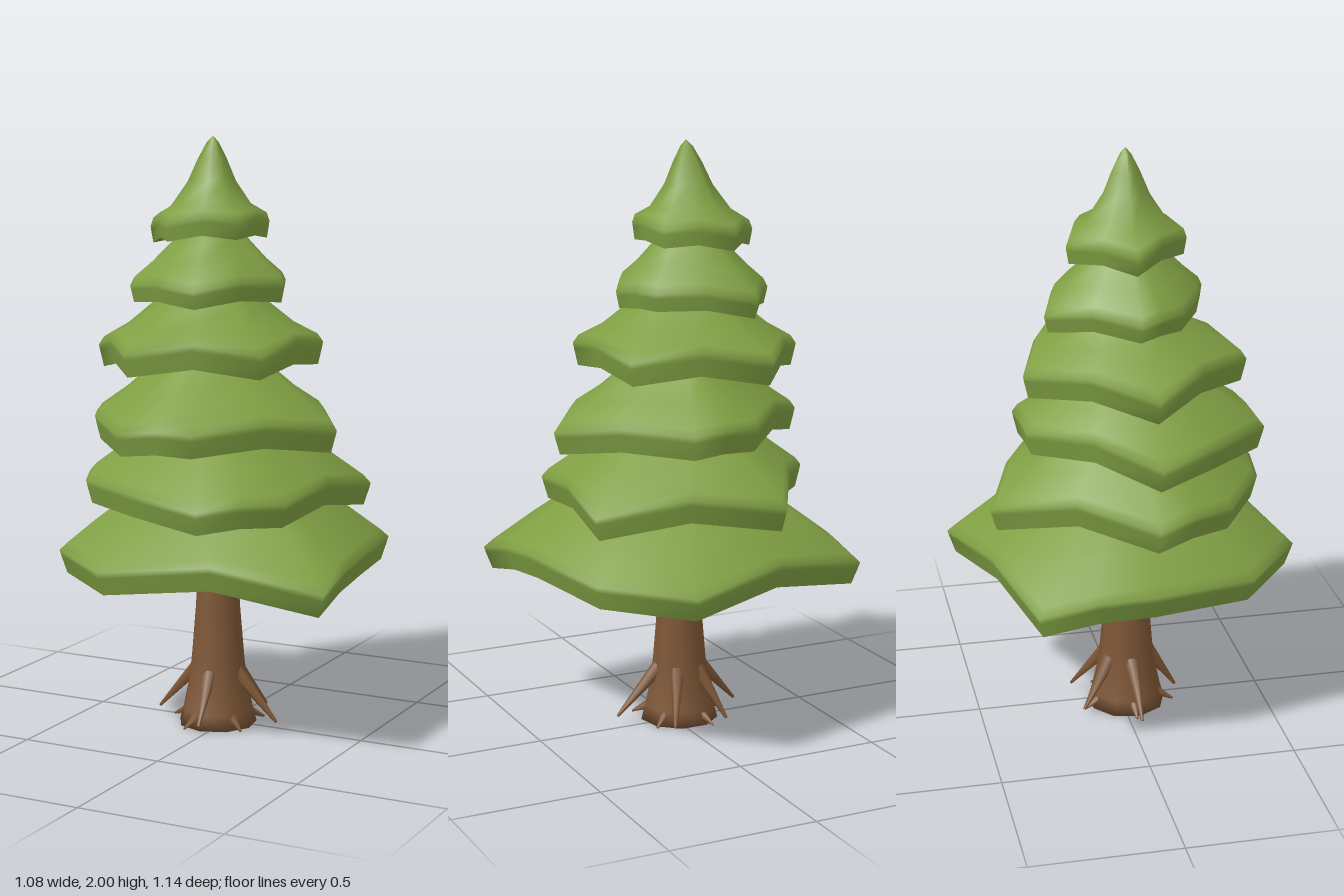
import * as THREE from 'three';

// Skin a list of rings (equal point counts), ordered so that faces point outward
function loft(rings) {
  const n = rings[0].length, index = [];
  for (let r = 0; r < rings.length - 1; r++) {
    for (let j = 0; j < n; j++) {
      const a = r * n + j, b = r * n + (j + 1) % n;
      index.push(a, a + n, b, b, a + n, b + n);
    }
  }
  const g = new THREE.BufferGeometry();
  g.setAttribute('position', new THREE.Float32BufferAttribute(rings.flat(2), 3));
  g.setIndex(index);
  g.computeVertexNormals();
  return g;
}

// Foliage tiers: base height, total rise, centre, corners as [x, z, bulge of the edge that follows]
const TIERS = [
  { y: 0.51, rise: 0.42, c: [0, 0.01],
    corners: [[0.52, 0.01], [0.54, 0.4], [-0.18, 0.57, 1.25], [-0.54, 0.01], [-0.52, -0.37], [0.19, -0.57, 1.25]] },
  { y: 0.75, rise: 0.37, c: [-0.04, 0.01],
    corners: [[0.36, 0.3], [0.14, 0.5, 1.13], [-0.38, 0.3], [-0.51, 0.03, 0.96], [-0.18, -0.47], [0.41, -0.27]] },
  { y: 0.975, rise: 0.34, c: [-0.04, 0.03],
    corners: [[0.42, 0.04, 1.05], [0.09, 0.44], [-0.17, 0.46, 1.1], [-0.49, 0.04], [-0.14, -0.34], [0.09, -0.35, 1.08]] },
  { y: 1.21, rise: 0.31, c: [-0.05, 0.02],
    corners: [[0.255, 0.26], [-0.18, 0.39], [-0.485, 0.03], [-0.19, -0.355], [0.255, -0.21, 1.05]] },
  { y: 1.435, rise: 0.28, c: [-0.05, 0.01],
    corners: [[0.21, 0, 1.08], [0.02, 0.285, 1.1], [-0.29, 0.15], [-0.355, 0], [-0.17, -0.28, 1.05], [0.14, -0.155]] },
  { y: 1.64, rise: 0.36, c: [-0.05, 0.01],
    corners: [[0.095, 0.12], [-0.13, 0.195], [-0.295, 0], [-0.13, -0.2], [0.095, -0.12, 1.1]] },
];

// Slopes above the rim as [scale, fraction of rise]
const SLOPE = [[0.73, 0.51], [0.48, 0.78], [0.27, 1]];
const TIP_SLOPE = [[0.67, 0.35], [0.4, 0.58], [0.24, 0.79], [0.1, 0.94], [0, 1]];

// Offsets from the centre: each corner, then the bulged middle of its edge
function outline({ c, corners }) {
  return corners.flatMap(([x, z, bulge = 1], i) => {
    const next = corners[(i + 1) % corners.length];
    return [
      new THREE.Vector2(x - c[0], z - c[1]),
      new THREE.Vector2((x + next[0]) / 2 - c[0], (z + next[1]) / 2 - c[1]).multiplyScalar(bulge),
    ];
  });
}

// One tier: a sloping crown whose longest branches droop most, and a hollow underside
function makeTier(t, i, material) {
  const pts = outline(t);
  const reach = Math.max(...pts.map(p => p.length()));
  const rim = i < 4 ? 0.075 : 0.055;
  const slope = i === TIERS.length - 1 ? TIP_SLOPE : SLOPE;
  const ring = (s, h) => pts.map(p => [
    t.c[0] + p.x * s, t.y + h + 0.45 * (reach - p.length()) * s * s, t.c[1] + p.y * s]);

  const tier = new THREE.Group();
  tier.name = 'foliageTier' + (i + 1);
  const crown = new THREE.Mesh(loft([
    ring(0.955, 0), ring(0.99, rim * 0.75), ring(1, rim), ring(0.95, rim + 0.03),
    ...slope.map(([s, f]) => ring(s, f * t.rise))]), material);
  crown.name = 'crown';
  const underside = new THREE.Mesh(loft([ring(0, 0.08), ring(0.5, 0.07), ring(0.955, 0)]), material);
  underside.name = 'underside';
  tier.add(crown, underside);
  return tier;
}

// Tapered spike between two points
function makeSpike(name, from, to, radius, material) {
  const a = new THREE.Vector3(...from);
  const d = new THREE.Vector3(...to).sub(a);
  const mesh = new THREE.Mesh(new THREE.CylinderGeometry(radius * 0.2, radius, d.length(), 6), material);
  mesh.position.copy(a).addScaledVector(d, 0.5);
  mesh.quaternion.setFromUnitVectors(new THREE.Vector3(0, 1, 0), d.normalize());
  mesh.name = name;
  return mesh;
}

export function createModel() {
  const leaf = new THREE.MeshStandardMaterial({ color: 0x7f9f43 });
  leaf.name = 'leaf green';
  const bark = new THREE.MeshStandardMaterial({ color: 0x7d5636 });
  bark.name = 'bark brown';

  const tree = new THREE.Group();
  tree.name = 'pineTree';
  TIERS.forEach((t, i) => tree.add(makeTier(t, i, leaf)));

  // Trunk with a flared foot
  const profile = [[0, 0], [0.135, 0], [0.122, 0.05], [0.105, 0.13], [0.093, 0.22], [0.078, 0.4], [0.062, 0.66]];
  const trunk = new THREE.Mesh(new THREE.LatheGeometry(profile.map(p => new THREE.Vector2(...p)), 9), bark);
  trunk.name = 'trunk';
  trunk.position.set(-0.03, 0, 0.02);
  tree.add(trunk);

  // Slanting upper roots
  for (const [x, z] of [[0.2, 0.03], [-0.01, 0.2], [-0.25, 0.03], [-0.13, -0.15], [0.07, -0.16]]) {
    const a = Math.atan2(z - 0.02, x + 0.03);
    tree.add(makeSpike('root', [-0.03 + 0.075 * Math.cos(a), 0.19, 0.02 + 0.075 * Math.sin(a)], [x, 0.03, z], 0.026, bark));
  }

  // Small rootlets close to the ground
  for (let i = 0; i < 5; i++) {
    const a = 0.6 + i * Math.PI * 0.4, c = Math.cos(a), s = Math.sin(a);
    tree.add(makeSpike('rootlet', [-0.03 + 0.1 * c, 0.04, 0.02 + 0.1 * s], [-0.03 + 0.165 * c, 0.008, 0.02 + 0.165 * s], 0.018, bark));
  }
  return tree;
}
